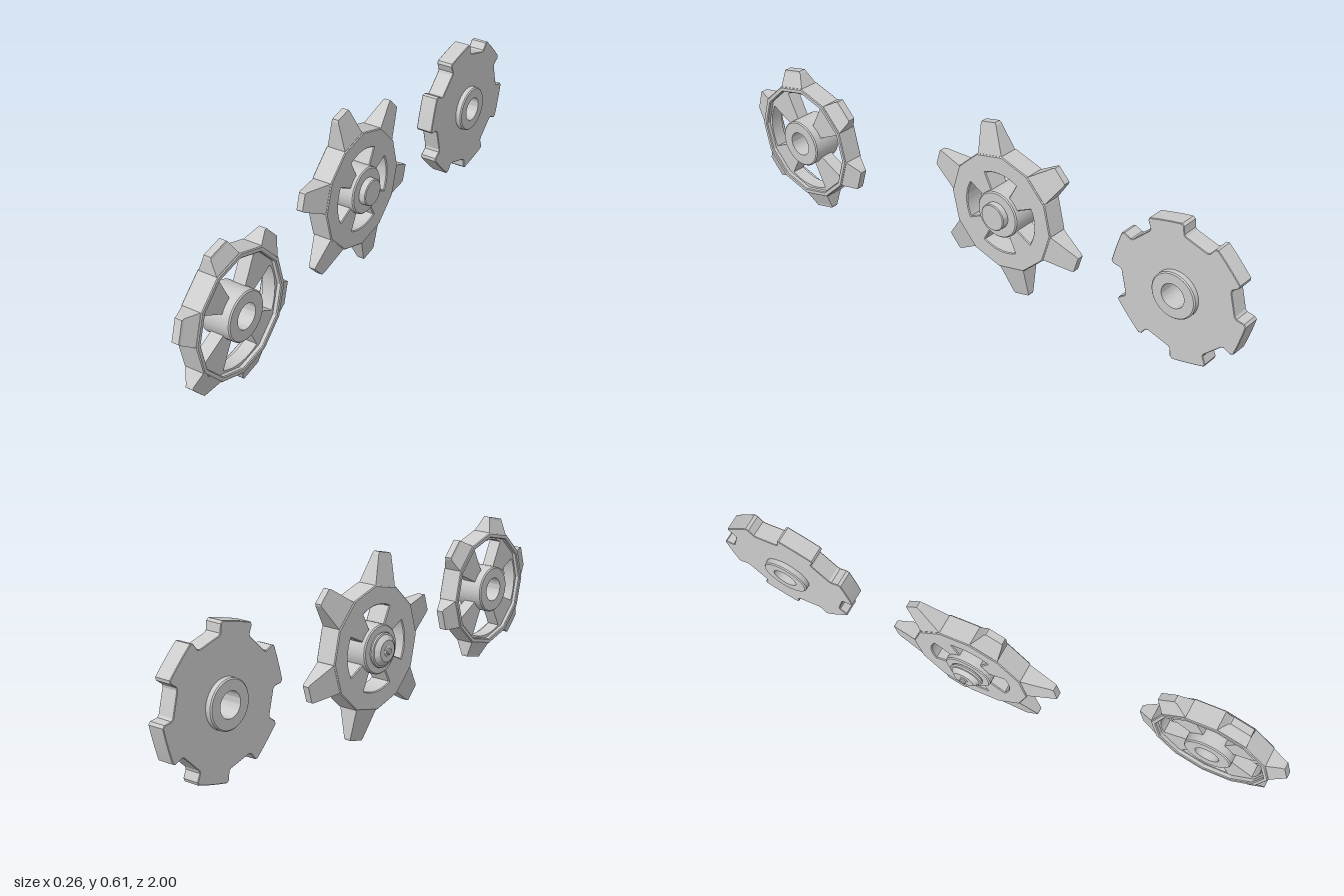
import * as THREE from 'three';
import { toCreasedNormals } from 'three/addons/utils/BufferGeometryUtils.js';

const DEG = Math.PI / 180;
const TOOTH_COUNT = 6;
const PHASE = 104 * DEG; // direction of the first tooth
const material = new THREE.MeshStandardMaterial({ color: 0xcccccc });
const flatMaterial = new THREE.MeshStandardMaterial({ color: 0xcccccc, flatShading: true });

function addMesh(parent, name, geometry, mat = material) {
  const mesh = new THREE.Mesh(geometry, mat);
  mesh.name = name;
  parent.add(mesh);
  return mesh;
}

const polar = (r, a) => new THREE.Vector2(r * Math.cos(a), r * Math.sin(a));

// Twelve-sided outline with one flat under every tooth and one between
function polygon(apothem) {
  const r = apothem / Math.cos(15 * DEG);
  return Array.from({ length: 12 }, (_, i) => polar(r, PHASE + (15 + i * 30) * DEG));
}

// Four windows leaving diagonal spokes
function windows(inner, outer, half = 27 * DEG) {
  return [0, 1, 2, 3].map((i) => {
    const a = i * 90 * DEG;
    const path = new THREE.Path();
    path.absarc(0, 0, outer, a - half, a + half, false);
    path.absarc(0, 0, inner, a + half, a - half, true);
    path.closePath();
    return path;
  });
}

function circleHole(r) {
  return new THREE.Path().absarc(0, 0, r, 0, Math.PI * 2, true);
}

// Plate centred on the wheel plane
function plate(points, holes, depth, bevel = 0) {
  const shape = new THREE.Shape(points);
  shape.holes.push(...holes);
  const geometry = new THREE.ExtrudeGeometry(shape, {
    depth: depth - 2 * bevel, curveSegments: 16, bevelEnabled: bevel > 0,
    bevelSize: bevel, bevelThickness: bevel, bevelOffset: -bevel, bevelSegments: 1,
  });
  geometry.translate(0, 0, -depth / 2 + bevel);
  return toCreasedNormals(geometry, 25 * DEG);
}

// Turned part around the axle, profile given as [radius, position]
function turned(profile) {
  const points = profile.map(([r, z]) => new THREE.Vector2(r, z));
  const geometry = new THREE.LatheGeometry(points, 40).rotateX(Math.PI / 2);
  return toCreasedNormals(geometry, 30 * DEG);
}

// Hub sleeve with a bore and chamfered rims
function hub(r, bore, z0, z1) {
  const c = 0.004;
  return turned([[bore, z0], [r - c, z0], [r, z0 + c], [r, z1 - c], [r - c, z1], [bore, z1], [bore, z0]]);
}

// Teeth narrowing in both width and thickness towards the tip
function addTeeth(parent, baseR, tipR, baseW, tipW, baseD, tipD) {
  const geometry = new THREE.BoxGeometry(1, 1, 1, 1, 2, 1);
  const p = geometry.attributes.position;
  const bevel = 0.008;
  for (let i = 0; i < p.count; i++) {
    const level = Math.round((p.getY(i) + 0.5) * 2);
    const w = [baseW, tipW, tipW - bevel][level];
    const d = [baseD, tipD, tipD - 0.003][level];
    const r = [baseR, tipR - bevel, tipR][level];
    p.setXYZ(i, p.getX(i) * w, r, p.getZ(i) * d);
  }
  for (let i = 0; i < TOOTH_COUNT; i++) {
    const tooth = addMesh(parent, 'tooth', geometry, flatMaterial);
    tooth.rotation.z = PHASE - Math.PI / 2 + i * 60 * DEG;
  }
}

// A wheel turns about x; its local z points to +x
function makeWheel(root, name, x, y, z) {
  const wheel = new THREE.Group();
  wheel.name = name;
  wheel.position.set(x, y, z);
  wheel.rotation.y = Math.PI / 2;
  root.add(wheel);
  return wheel;
}

export function createModel() {
  const root = new THREE.Group();
  root.name = 'sprocketWheels';

  // Front wheel: open rim with recessed spokes
  const front = makeWheel(root, 'frontWheel', 0.077, 0.317, 0.745);
  const rimHole = new THREE.Path(polygon(0.183).reverse());
  addMesh(front, 'rim', plate(polygon(0.2), [rimHole], 0.075, 0.003));
  addMesh(front, 'spokes', plate(polygon(0.19), [circleHole(0.06), ...windows(0.078, 0.177)], 0.045));
  addMesh(front, 'hub', hub(0.082, 0.042, -0.052, 0.053));
  addTeeth(front, 0.189, 0.255, 0.112, 0.082, 0.074, 0.028);

  // Middle wheel: long pointed teeth, small windows, solid axle and cap
  const middle = makeWheel(root, 'middleWheel', -0.04, 0.308, -0.058);
  addMesh(middle, 'body', plate(polygon(0.202), [circleHole(0.06), ...windows(0.079, 0.143)], 0.075, 0.003));
  addMesh(middle, 'hub', hub(0.082, 0.046, -0.054, 0.053));
  addMesh(middle, 'axle', turned([[0, -0.056], [0.047, -0.056], [0.047, 0.074], [0.044, 0.077], [0, 0.077]]));
  addMesh(middle, 'cap', turned([
    [0.011, -0.082], [0.036, -0.082], [0.04, -0.079], [0.051, -0.068], [0.057, -0.067],
    [0.059, -0.062], [0.057, -0.056], [0.05, -0.053], [0, -0.053],
  ]));
  addMesh(middle, 'greaseNipple', turned([
    [0, -0.092], [0.008, -0.092], [0.011, -0.089], [0.011, -0.085], [0.017, -0.083], [0.017, -0.08], [0, -0.08],
  ]));
  addTeeth(middle, 0.185, 0.308, 0.108, 0.066, 0.074, 0.026);

  // Rear wheel: solid disc with broad blunt teeth and narrow notches
  const rear = makeWheel(root, 'rearWheel', -0.043, 0.31, -0.75);
  const outline = [];
  for (let i = 0; i < TOOTH_COUNT; i++) {
    const a = PHASE + i * 60 * DEG;
    for (const [r, t] of [[0.207, -19], [0.213, -17], [0.24, -16], [0.247, -14], [0.242, -5],
      [0.242, 5], [0.247, 14], [0.24, 16], [0.213, 17], [0.207, 19]]) {
      outline.push(polar(r, a + t * DEG));
    }
  }
  addMesh(rear, 'disc', plate(outline, [circleHole(0.06)], 0.06, 0.002));
  addMesh(rear, 'hub', hub(0.08, 0.042, -0.051, 0.051));

  return root;
}
